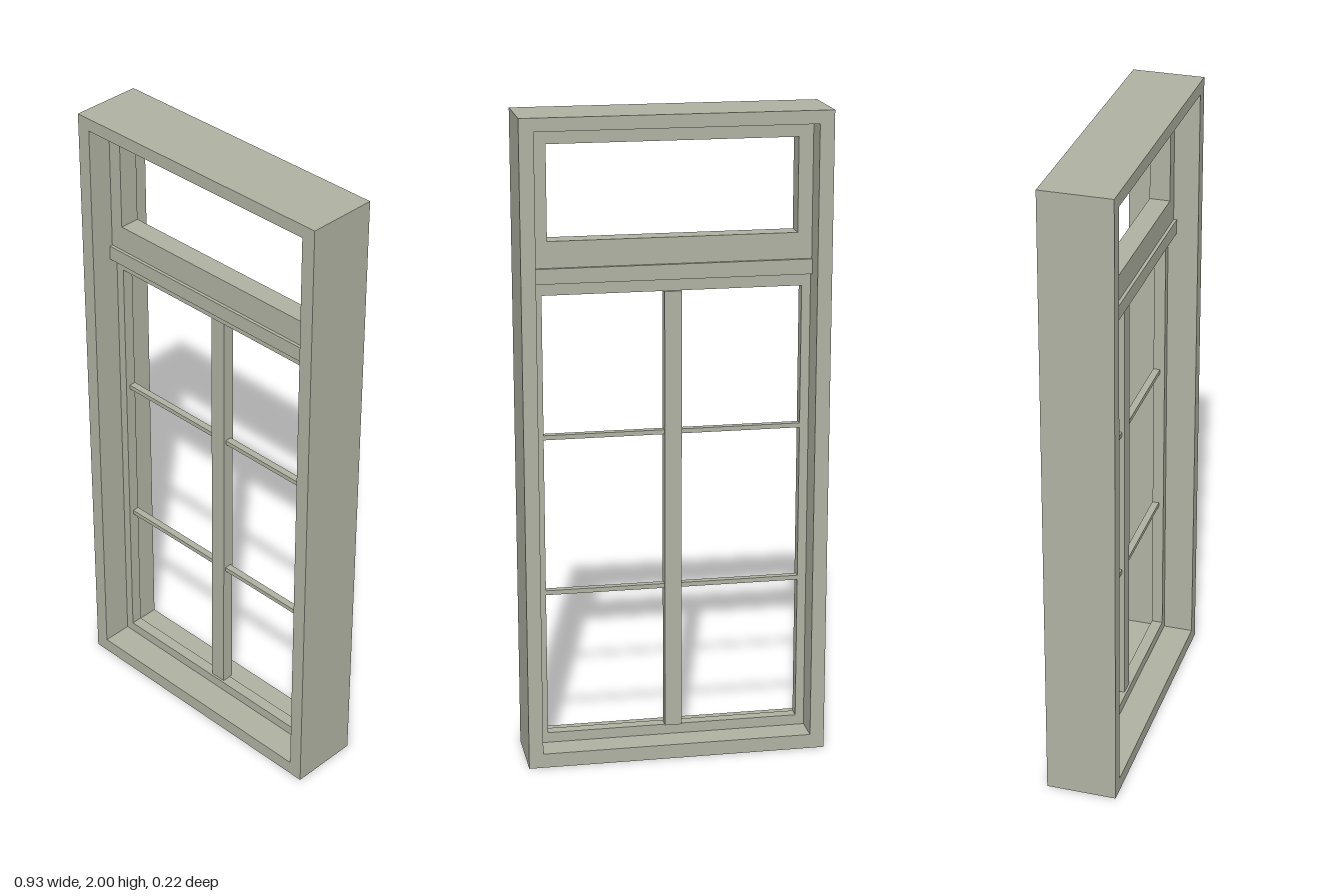
import * as THREE from 'three';

const paint = new THREE.MeshStandardMaterial({ color: 0xb0b3a3 });
paint.name = 'sage grey paint';

// Closed rectangle path centred on x = 0
function rect(path, halfW, y0, y1) {
  path.moveTo(-halfW, y0);
  path.lineTo(halfW, y0);
  path.lineTo(halfW, y1);
  path.lineTo(-halfW, y1);
  path.closePath();
  return path;
}

// Rectangular frame with one opening: outer and inner are [halfWidth, bottom, top]
function frame(name, outer, inner, back, front) {
  const shape = rect(new THREE.Shape(), ...outer);
  shape.holes.push(rect(new THREE.Path(), ...inner));
  const geo = new THREE.ExtrudeGeometry(shape, { depth: front - back, bevelEnabled: false });
  geo.translate(0, 0, back);
  const mesh = new THREE.Mesh(geo, paint);
  mesh.name = name;
  return mesh;
}

// Straight bar given by its limits
function bar(name, x0, x1, y0, y1, z0, z1) {
  const mesh = new THREE.Mesh(new THREE.BoxGeometry(x1 - x0, y1 - y0, z1 - z0), paint);
  mesh.position.set((x0 + x1) / 2, (y0 + y1) / 2, (z0 + z1) / 2);
  mesh.name = name;
  return mesh;
}

export function createModel() {
  const model = new THREE.Group();
  model.name = 'window';

  // Deep outer casing
  model.add(frame('outerFrame', [0.464, 0, 2], [0.42, 0.045, 1.96], -0.11, 0.11));

  // Transom bar between the two lights
  model.add(bar('transom', -0.42, 0.42, 1.5, 1.546, -0.042, 0.042));

  // Small upper light and tall lower casement
  model.add(frame('upperSash', [0.42, 1.546, 1.96], [0.376, 1.626, 1.912], -0.032, 0.032));
  model.add(frame('lowerSash', [0.42, 0.045, 1.5], [0.393, 0.077, 1.462], -0.021, 0.015));

  // Central mullion
  model.add(bar('mullion', -0.026, 0.026, 0.077, 1.462, -0.03, 0.008));

  // Thin glazing bars on both sides of the mullion
  for (const y of [0.536, 1.027]) {
    for (const side of [-1, 1]) {
      const xs = [side * 0.026, side * 0.393].sort((a, b) => a - b);
      model.add(bar('glazingBar', xs[0], xs[1], y - 0.007, y + 0.007, -0.022, 0));
    }
  }
  return model;
}
